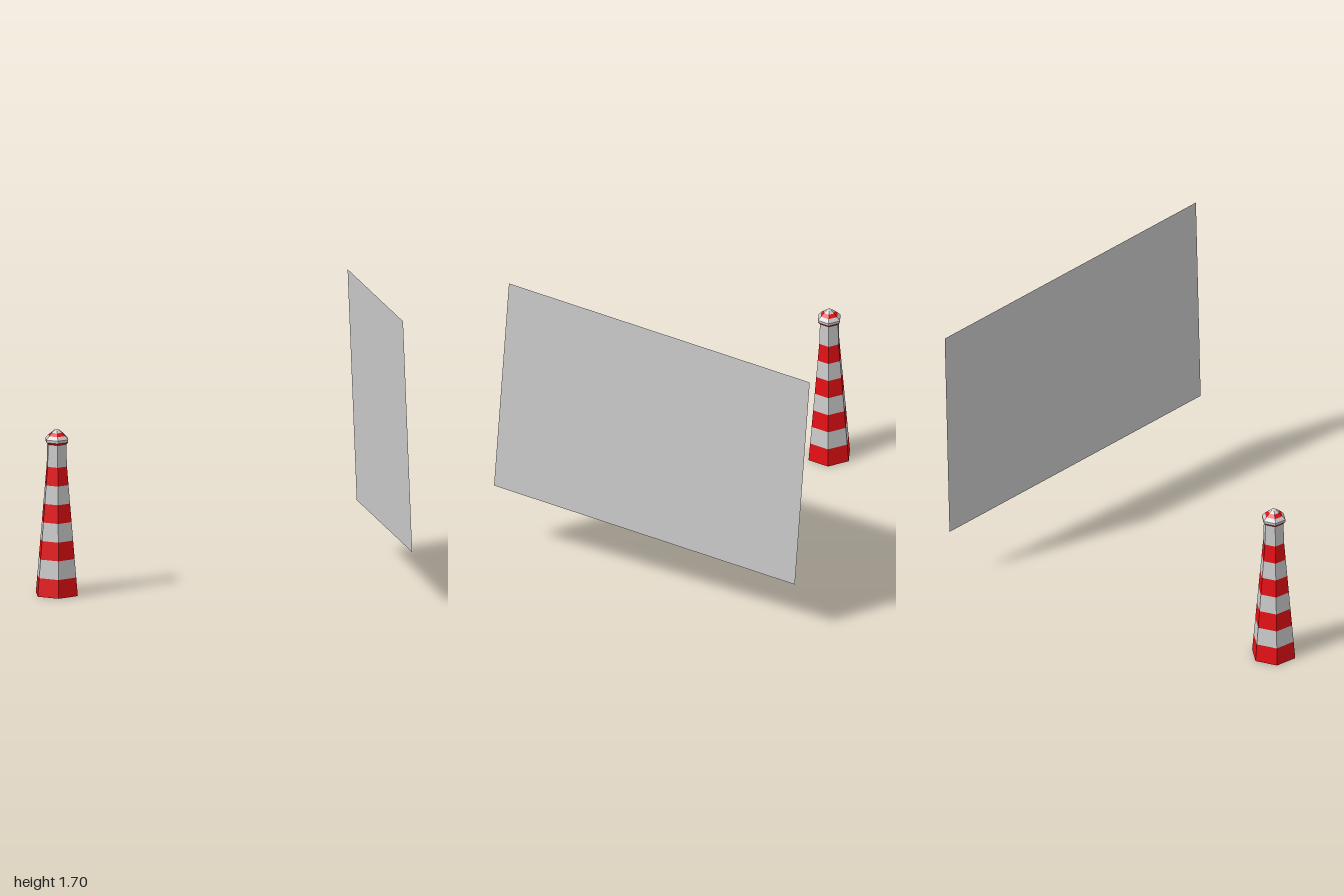
import * as THREE from 'three';

const grey = new THREE.MeshStandardMaterial({ color: 0xcccccc, flatShading: true });
const red = new THREE.MeshStandardMaterial({ color: 0xe50f14, flatShading: true });
const sheet = new THREE.MeshStandardMaterial({ color: 0xcccccc, side: THREE.DoubleSide });

// Open six-sided ring between two heights
function band(name, y0, r0, y1, r1, material) {
  const mesh = new THREE.Mesh(new THREE.CylinderGeometry(r1, r0, y1 - y0, 6, 1, true), material);
  mesh.position.y = (y0 + y1) / 2;
  mesh.name = name;
  return mesh;
}

function createTower() {
  const tower = new THREE.Group();
  tower.name = 'tower';

  // Tapering shaft with alternating stripes
  const stripes = 7, height = 0.725, rBase = 0.128, rTop = 0.062;
  for (let i = 0; i < stripes; i++) {
    const a = i / stripes, b = (i + 1) / stripes;
    tower.add(band('shaftStripe' + (i + 1),
      a * height, THREE.MathUtils.lerp(rBase, rTop, a),
      b * height, THREE.MathUtils.lerp(rBase, rTop, b), i % 2 ? grey : red));
  }

  // Neck, flared rim and stepped roof: [name, y0, r0, y1, r1, material]
  [
    ['neck', 0.725, 0.062, 0.85, 0.058, grey],
    ['rim', 0.85, 0.058, 0.862, 0.069, red],
    ['eaves', 0.862, 0.069, 0.877, 0.07, grey],
    ['lowerRoof', 0.877, 0.07, 0.896, 0.052, grey],
    ['roofStripe', 0.896, 0.052, 0.913, 0.032, red],
    ['upperRoof', 0.913, 0.032, 0.926, 0.016, grey],
    ['roofTip', 0.926, 0.016, 0.931, 0, grey],
  ].forEach((part) => tower.add(band(...part)));

  // Floor closing the shaft
  const floor = new THREE.Mesh(new THREE.CircleGeometry(rBase, 6, Math.PI / 2), grey);
  floor.rotation.x = Math.PI / 2;
  floor.name = 'floor';
  tower.add(floor);

  tower.position.x = -0.888;
  return tower;
}

// Tilted flat sheet, placed by its centre and edge directions
function createPanel() {
  const along = new THREE.Vector3(-0.15, -0.106, -1.886);
  const up = new THREE.Vector3(-0.045, 1.29, -0.068);
  const panel = new THREE.Mesh(new THREE.PlaneGeometry(along.length(), up.length()), sheet);
  const x = along.clone().normalize();
  const z = x.clone().cross(up).normalize();
  panel.quaternion.setFromRotationMatrix(new THREE.Matrix4().makeBasis(x, z.clone().cross(x), z));
  panel.position.set(0.902, 1.003, 0);
  panel.name = 'panel';
  return panel;
}

export function createModel() {
  const model = new THREE.Group();
  model.name = 'towerAndPanel';
  model.add(createTower(), createPanel());
  return model;
}
